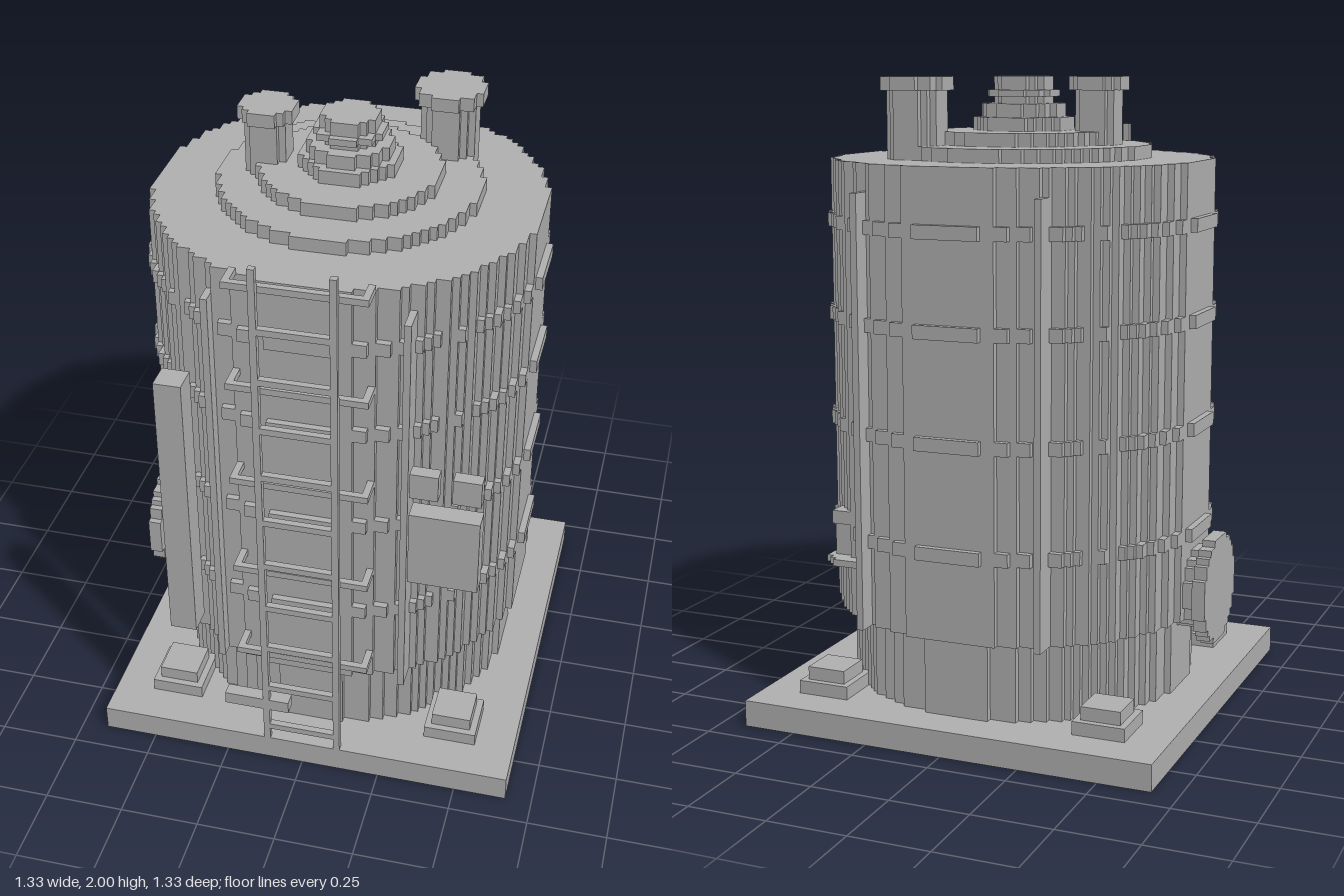
import * as THREE from 'three';

const U = 1 / 48; // size of one block

export function createModel() {
  const model = new THREE.Group();
  model.name = 'storageTank';
  model.scale.setScalar(U); // everything below is measured in blocks

  const grey = new THREE.MeshStandardMaterial({ color: 0xb2b2b2 });
  grey.name = 'plainGrey';

  const add = (name, geometry, parent = model) => {
    const mesh = new THREE.Mesh(geometry, grey);
    mesh.name = name;
    parent.add(mesh);
    return mesh;
  };

  // Box given by its two extreme corners
  const box = (name, x0, x1, y0, y1, z0, z1, parent) => {
    const g = new THREE.BoxGeometry(x1 - x0, y1 - y0, z1 - z0);
    g.translate((x0 + x1) / 2, (y0 + y1) / 2, (z0 + z1) / 2);
    return add(name, g, parent);
  };

  // Circle outline stepped along the block grid
  const steppedCircle = (r) => {
    const right = [];
    const n = Math.floor(r + 0.5);
    for (let j = -n; j < n; j++) {
      const c = j + 0.5;
      if (c * c + 0.25 > r * r) continue;
      const w = Math.floor(Math.sqrt(r * r - c * c) + 0.5);
      const last = right[right.length - 1];
      if (last && last.x === w) last.y = j + 1;
      else right.push(new THREE.Vector2(w, j), new THREE.Vector2(w, j + 1));
    }
    const left = right.map((p) => new THREE.Vector2(-p.x, p.y)).reverse();
    return new THREE.Shape([...right, ...left]);
  };

  const discGeometry = (r, h) =>
    new THREE.ExtrudeGeometry(steppedCircle(r), { depth: h, bevelEnabled: false });

  // Upright stepped cylinder
  const drum = (name, r, y0, y1, x = 0, z = 0, parent = model) => {
    const g = discGeometry(r, y1 - y0);
    g.rotateX(-Math.PI / 2);
    g.translate(x, y0, z);
    return add(name, g, parent);
  };

  // Cylinder lying along x
  const sideDrum = (name, r, x0, x1, y) => {
    const g = discGeometry(r, x1 - x0);
    g.rotateY(Math.PI / 2);
    g.translate(x0, y, 0);
    return add(name, g);
  };

  // Base, skirt and shell
  box('basePlate', -32, 32, 0, 4, -32, 32);
  drum('skirt', 26, 4, 16);
  drum('tankShell', 28.4, 16, 84);
  for (const y of [28, 44, 60, 74]) drum('hoopBand', 29, y, y + 2);

  // Corner feet
  for (const sx of [-1, 1]) for (const sz of [-1, 1]) {
    const x = sx * 22, z = sz * 22;
    box('footPad', x - 4, x + 4, 4, 6, z - 4, z + 4);
    box('footBlock', x - 3, x + 3, 6, 8, z - 3, z + 3);
  }

  // Vertical fins on the shell
  for (const x of [-14, 14]) {
    for (const z of [-28, 24]) box('fin', x, x + 1, 16, 80, z, z + 4);
  }

  // Roof tiers and central vent
  drum('roofLowerTier', 19, 84, 86);
  drum('roofUpperTier', 13, 86, 88);
  drum('ventBase', 7, 88, 90);
  drum('ventCollar', 6, 90, 92);
  drum('ventNeck', 4, 92, 96);
  drum('ventRim', 5, 93, 94);

  // Two roof stacks with caps
  drum('smallStack', 3, 84, 94, -12, 0);
  drum('smallStackCap', 4, 94, 96, -12, 0);
  drum('largeStack', 4, 84, 94, 12, -12);
  drum('largeStackCap', 5, 94, 96, 12, -12);

  // Side manway
  sideDrum('manwayNeck', 6, -30, -26, 20);
  sideDrum('manwayFlange', 8, -32, -30, 20);

  // Ladder with wall brackets
  const ladder = new THREE.Group();
  ladder.name = 'ladder';
  model.add(ladder);
  box('ladderRail', -6, -5, 4, 88, 31, 32, ladder);
  box('ladderRail', 5, 6, 4, 88, 31, 32, ladder);
  for (let y = 6; y <= 84; y += 8) box('ladderRung', -5, 5, y, y + 1, 31, 32, ladder);
  for (let y = 20; y <= 84; y += 16) {
    box('bracketBar', -10, 10, y, y + 1, 30, 31, ladder);
    for (const x of [-10, 9]) box('bracketArm', x, x + 1, y, y + 1, 27, 30, ladder);
  }
  box('ladderStep', -12, -2, 10, 12, 30, 32, ladder);

  // Front gauge board and control cabinet
  box('gaugeBoard', -20, -16, 24, 68, 28, 32);
  box('controlCabinet', 16, 26, 40, 52, 29, 32);
  for (const x of [16, 22]) box('instrumentBox', x, x + 4, 55, 59, 30, 32);

  // Sampling valve on the rear corner
  drum('valveShelf', 4, 24, 25, 19, -20);
  box('valveStem', 20, 22, 25, 30, -21, -19);
  box('valveHandle', 19, 22, 30, 32, -22, -18);

  const root = new THREE.Group();
  root.name = 'tankModel';
  root.add(model);
  return root;
}
